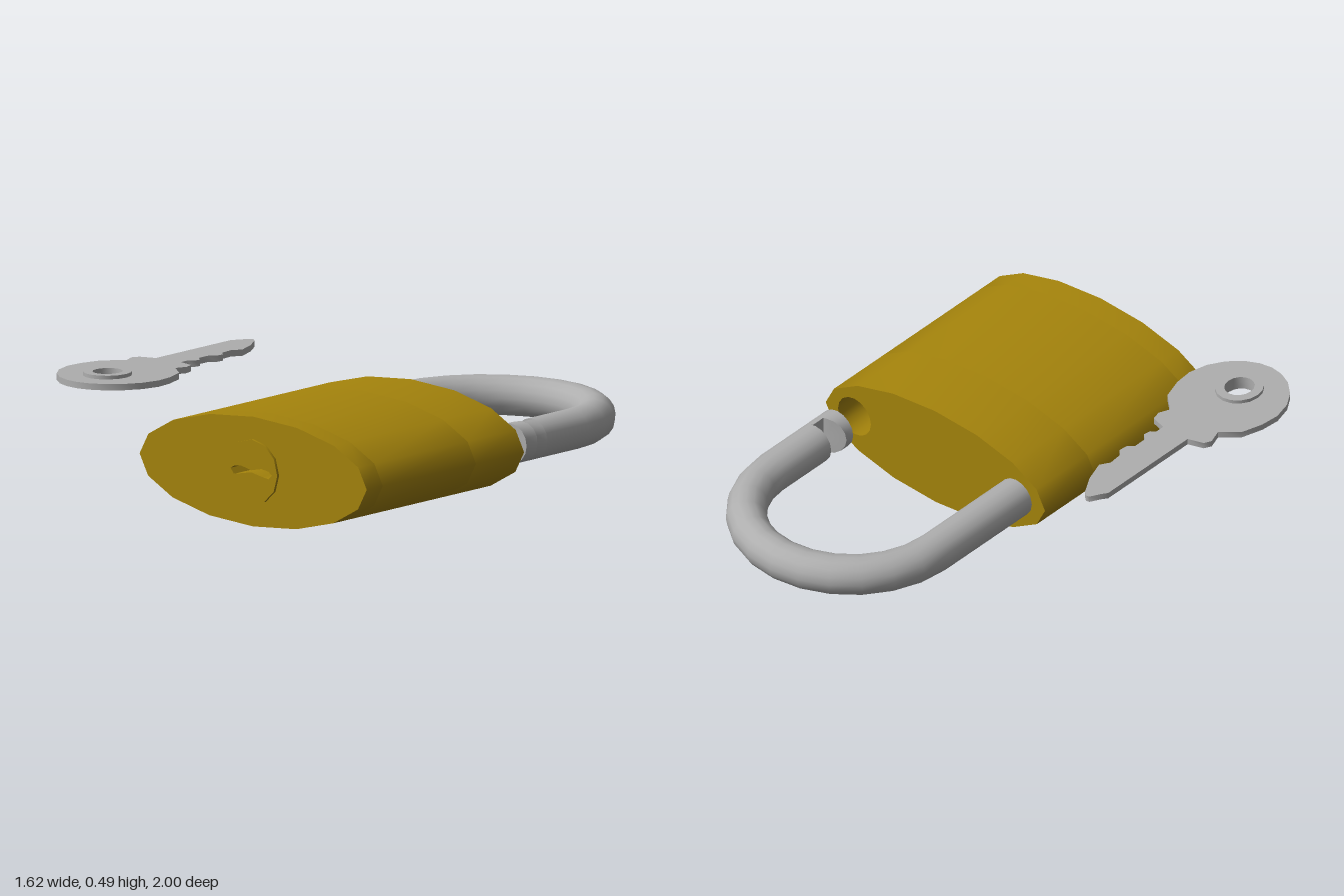
import * as THREE from 'three';
import { toCreasedNormals } from 'three/addons/utils/BufferGeometryUtils.js';

const brass = new THREE.MeshStandardMaterial({ color: 0xa5840c });
brass.name = 'brass';
const steel = new THREE.MeshStandardMaterial({ color: 0xaeaeae });
steel.name = 'steel';

const TILT = -0.012; // everything leans very slightly back
const CX = 0.25; // centre line of the lock
const R = 0.413; // shackle bend radius
const ROD = 0.08; // shackle rod radius
const BEND_Z = -0.507;

const vec = ([x, y]) => new THREE.Vector2(x, y);

// Points of an ellipse-shaped polygon
function ring(cx, cy, rx, ry, sides) {
  return Array.from({ length: sides }, (_, i) => {
    const a = (i / sides) * Math.PI * 2;
    return new THREE.Vector2(cx + rx * Math.cos(a), cy + ry * Math.sin(a));
  });
}

// Extrusion along z with smooth walls and sharp rims
function prism(points, holes, z0, z1) {
  const shape = new THREE.Shape(points);
  for (const h of holes) shape.holes.push(new THREE.Path(h));
  const geo = new THREE.ExtrudeGeometry(shape, { depth: z1 - z0, bevelEnabled: false });
  geo.translate(0, 0, z0);
  return toCreasedNormals(geo, 1.1);
}

// Round rod along z
function rod(x, z0, z1) {
  const geo = new THREE.CylinderGeometry(ROD, ROD, z1 - z0, 16);
  geo.rotateX(Math.PI / 2);
  geo.translate(x, 0, (z0 + z1) / 2);
  return geo;
}

// Moves every vertex by a rule
function reshape(geo, rule) {
  const p = geo.attributes.position;
  const v = new THREE.Vector3();
  for (let i = 0; i < p.count; i++) {
    v.fromBufferAttribute(p, i);
    rule(v);
    p.setXYZ(i, v.x, v.y, v.z);
  }
  return toCreasedNormals(geo, 0.7);
}

function add(parent, name, geo, mat) {
  const mesh = new THREE.Mesh(geo, mat);
  mesh.name = name;
  parent.add(mesh);
  return mesh;
}

function makeBody() {
  const g = new THREE.Group();
  g.name = 'lockBody';
  const outline = ring(CX, 0, 0.56, 0.216, 16);
  const slot = [
    [0.148, 0.004], [0.165, 0.014], [0.2, 0.019], [0.25, 0.007], [0.3, 0.018], [0.335, 0.012],
    [0.352, -0.002], [0.335, -0.018], [0.3, -0.012], [0.25, -0.001], [0.2, -0.011], [0.165, -0.018],
  ].map(vec);
  const socket = ring(CX + R, 0, 0.084, 0.084, 16);
  add(g, 'bodyFront', prism(outline, [slot], 0.86, 0.96), brass);
  add(g, 'bodyMiddle', prism(outline, [], 0.28, 0.86), brass);
  add(g, 'bodyBackWithSocket', prism(outline, [socket], -0.02, 0.28), brass);
  add(g, 'keyCylinder', prism(ring(CX, 0, 0.128, 0.128, 12), [slot], 0.958, 0.972), brass);
  return g;
}

function makeShackle() {
  const g = new THREE.Group();
  g.name = 'shackle';
  const bend = new THREE.TorusGeometry(R, ROD, 16, 12, Math.PI);
  bend.rotateX(-Math.PI / 2);
  bend.translate(CX, 0, BEND_Z);
  add(g, 'shackleBend', bend, steel);
  add(g, 'fixedLeg', rod(CX - R, BEND_Z, 0.05), steel);
  add(g, 'freeLeg', rod(CX + R, BEND_Z, -0.25), steel);

  // Latch notch on the inner side of the free leg
  const wall = 0.675;
  const neck = reshape(rod(CX + R, -0.25, -0.188), (v) => { v.x = Math.max(v.x, wall); });
  add(g, 'notchNeck', neck, steel);
  const tip = reshape(rod(CX + R, -0.19, -0.12), (v) => {
    if (v.z < -0.15) v.z += Math.max(0, wall - v.x) * 0.33;
  });
  add(g, 'freeLegTip', tip, steel);
  return g;
}

function makeKey() {
  const g = new THREE.Group();
  g.name = 'key';
  const cx = -0.59;
  const flat = (geo) => geo.rotateX(-Math.PI / 2);
  const hole = ring(-0.587, -0.81, 0.056, 0.063, 16);

  // Blade from left shoulder round the tip and teeth to the right shoulder
  const blade = [
    [-0.71, 0.54], [-0.73, 0.48], [-0.715, 0.45], [-0.65, 0.43], [-0.65, -0.04], [-0.635, -0.06],
    [-0.61, -0.105], [-0.595, -0.108], [-0.575, -0.09], [-0.53, -0.01], [-0.5, 0.08], [-0.525, 0.12],
    [-0.52, 0.18], [-0.497, 0.205], [-0.5, 0.24], [-0.525, 0.265], [-0.525, 0.32], [-0.5, 0.345],
    [-0.505, 0.375], [-0.525, 0.39], [-0.525, 0.43], [-0.46, 0.45], [-0.45, 0.49],
  ];
  // Half of the round bow, mirrored
  const half = [
    [0.12, 0.535], [0.19, 0.6], [0.218, 0.69], [0.225, 0.77], [0.205, 0.85],
    [0.165, 0.915], [0.11, 0.965], [0.055, 0.991],
  ];
  const right = half.map(([x, z]) => [cx + x, z]);
  const left = half.slice(1).reverse().map(([x, z]) => [cx - x, z]);
  const outline = [...blade, ...right, [cx, 1], ...left].map(([x, z]) => vec([x, -z]));
  add(g, 'keyPlate', flat(prism(outline, [hole], -0.0125, 0.0125)), steel);

  // Raised eyelet round the hole
  const eyelet = prism(ring(-0.587, -0.81, 0.092, 0.1, 16), [hole], -0.027, 0.027);
  add(g, 'keyEyelet', flat(eyelet), steel);
  return g;
}

export function createModel() {
  const model = new THREE.Group();
  model.name = 'padlockWithKey';

  const lock = new THREE.Group();
  lock.name = 'padlock';
  lock.add(makeBody(), makeShackle());
  lock.position.y = 0.2165;
  lock.rotation.x = TILT;

  const key = makeKey();
  key.position.y = 0.4555;
  key.rotation.x = TILT;

  model.add(lock, key);
  return model;
}
